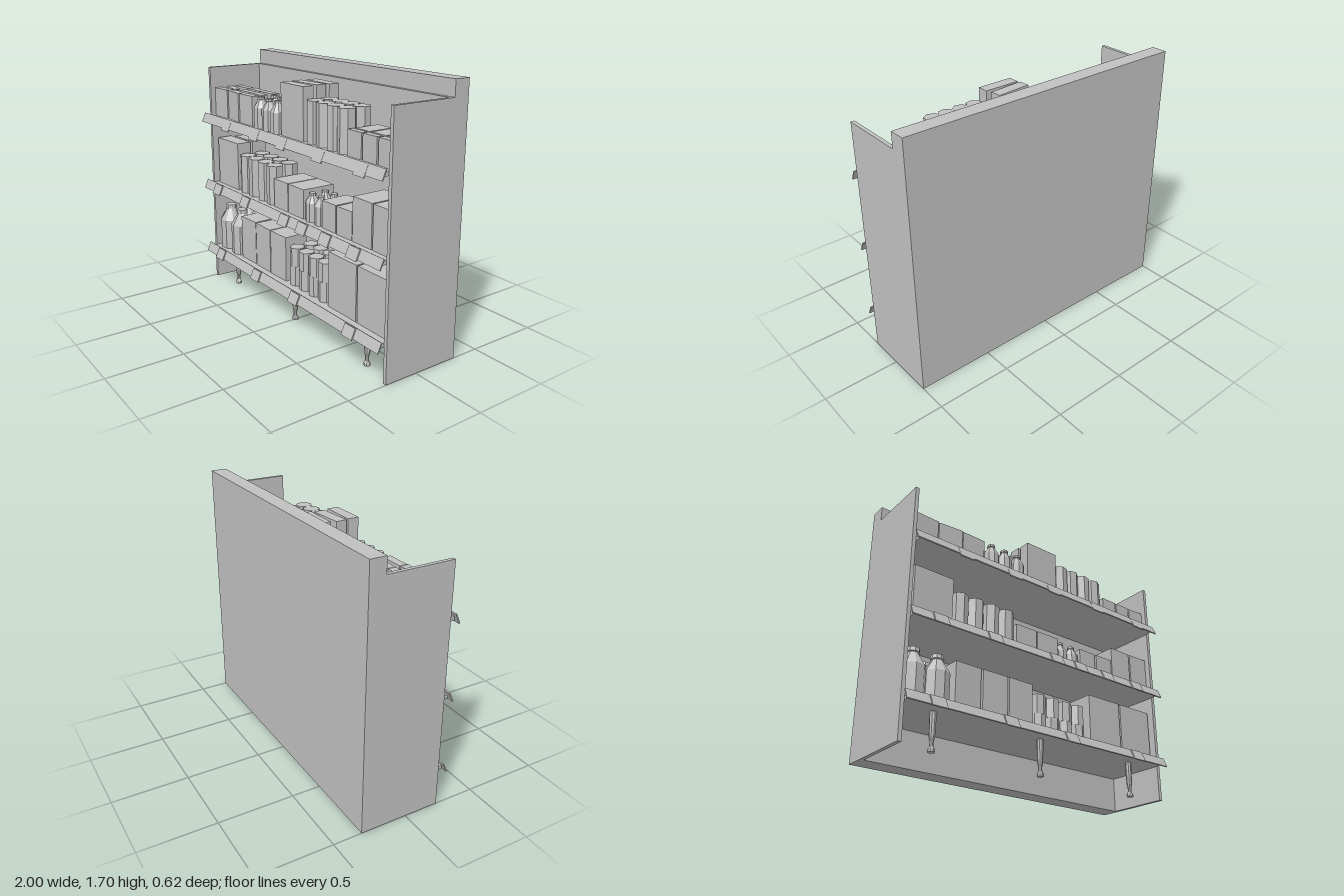
import * as THREE from 'three';

const grey = new THREE.MeshStandardMaterial({ color: 0xc0c0c0, flatShading: true });
grey.name = 'shelf grey';

export function createModel() {
  const model = new THREE.Group();
  model.name = 'stockedShelf';

  const add = (name, geometry, x, y, z, ry = 0) => {
    const mesh = new THREE.Mesh(geometry, grey);
    mesh.name = name;
    mesh.position.set(x, y, z);
    mesh.rotation.y = ry;
    model.add(mesh);
    return mesh;
  };
  // Box given by its extents on each axis, turned about its own centre
  const block = (name, x0, x1, y0, y1, z0, z1, ry = 0) =>
    add(name, new THREE.BoxGeometry(x1 - x0, y1 - y0, z1 - z0),
      (x0 + x1) / 2, (y0 + y1) / 2, (z0 + z1) / 2, ry);
  const lathe = (points, sides) =>
    new THREE.LatheGeometry(points.map(([r, y]) => new THREE.Vector2(r, y)), sides);

  // Seven-sided cans on a grid of positions
  const cans = (xs, zs, y0, y1, r, turn = 0) => {
    xs.forEach((x, i) => zs.forEach((z, j) =>
      add('can', new THREE.CylinderGeometry(r, r, y1 - y0, 7), x, (y0 + y1) / 2, z, turn + i * 0.4 + j * 0.7)));
  };
  // Bottles with sloped shoulders and a small flared cap
  const bottles = (xs, zs, y0, h, r) => {
    const shape = lathe([[0, 0], [r, 0], [r, h * 0.66], [r * 0.4, h * 0.91],
      [r * 0.52, h * 0.92], [r * 0.48, h], [0, h]], 9);
    xs.forEach((x, i) => zs.forEach((z, j) => add('bottle', shape, x, y0, z, i * 0.3 + j * 0.5)));
  };

  // Cabinet
  block('backPanel', -0.976, 0.976, 0, 1.6, -0.31, -0.18);
  block('topRail', -1, 1, 1.6, 1.7, -0.31, -0.205);
  for (const s of [-1, 1]) {
    add('sidePanel', new THREE.BoxGeometry(0.024, 1.6, 0.54), s * 0.988, 0.8, -0.04);
  }

  // Shelves with tilted price strips and label holders
  const low = 0.255, mid = 0.752, top = 1.25;
  const shelves = [
    [low, [-0.8, -0.305, 0.16, 0.73], 0.004, 0.009],
    [mid, [-0.81, -0.43, 0.05, 0.25, 0.49, 0.76], 0.004, 0.009],
    [top, [-0.66, -0.29, 0.03, 0.42, 0.81], 0.011, 0.002],
  ];
  for (const [y, labels, drop, out] of shelves) {
    block('shelfBoard', -0.976, 0.976, y - 0.025, y, -0.18, 0.275);
    const strip = add('priceStrip', new THREE.BoxGeometry(2, 0.068, 0.008), 0, y - 0.008, 0.281);
    strip.rotation.x = -0.42;
    for (const x of labels) {
      const label = add('labelHolder', new THREE.BoxGeometry(0.098, 0.074, 0.008),
        x, y - 0.008 - drop, 0.281 + out + drop * 0.4);
      label.rotation.x = -0.42;
    }
  }

  // Legs
  const leg = lathe([[0, 0], [0.021, 0], [0.021, 0.018], [0.012, 0.032], [0.012, 0.06],
    [0.018, 0.085], [0.021, 0.23], [0, 0.23]], 8);
  for (const x of [-0.76, 0, 0.76]) add('leg', leg, x, 0, 0.17);

  // Top shelf goods
  const turns = [[0.03, -0.1, 0.02], [-0.17, 0.03, -0.08], [0.04, -0.09, 0.02]];
  [-0.97, -0.795, -0.627].forEach((x, i) => [-0.025, 0.063, 0.142].forEach((z, j) =>
    block('smallCarton', x, x + 0.163, top, 1.453, z, z + 0.053, turns[j][i])));
  bottles([-0.39, -0.287, -0.185], [0.062, 0.167], top, 0.21, 0.052);
  block('tallCarton', -0.107, 0.138, top, 1.59, -0.078, -0.002);
  block('tallCarton', -0.12, 0.123, top, 1.59, 0.02, 0.095, 0.08);
  block('tallCarton', -0.11, 0.137, top, 1.59, 0.118, 0.193);
  cans([0.205, 0.307, 0.41, 0.513], [0.042, 0.15], top, 1.515, 0.056);
  block('lowCarton', 0.577, 0.7, top, 1.405, -0.028, 0.14);
  block('lowCarton', 0.711, 0.833, top, 1.405, -0.037, 0.138, 0.03);
  block('lowCarton', 0.845, 0.97, top, 1.405, -0.038, 0.137);
  block('lowCarton', 0.577, 0.7, top, 1.405, 0.153, 0.195);
  block('lowCarton', 0.711, 0.833, top, 1.405, 0.153, 0.195);
  block('lowCarton', 0.845, 0.97, top, 1.405, 0.155, 0.197, -0.06);

  // Middle shelf goods
  block('wideCarton', -0.95, -0.68, mid, 1.09, 0.09, 0.195, 0.02);
  block('wideCarton', -0.93, -0.68, mid, 1.09, -0.04, 0.07);
  cans([-0.607, -0.492, -0.376, -0.262], [0.035, 0.15], mid, 1.018, 0.057, 0.2);
  block('lowCarton', -0.202, -0.04, mid, 0.945, -0.04, 0.195);
  block('lowCarton', -0.032, 0.138, mid, 0.945, -0.04, 0.195);
  bottles([0.188, 0.283], [0.062, 0.16], mid, 0.183, 0.046);
  block('lowCarton', 0.333, 0.47, mid, 0.928, 0, 0.195);
  block('lowCarton', 0.48, 0.622, mid, 0.928, 0, 0.195, 0.03);
  block('carton', 0.632, 0.804, mid, 1.025, -0.04, 0.195);
  block('carton', 0.815, 0.972, mid, 1.025, -0.04, 0.195);

  // Bottom shelf goods
  bottles([-0.895, -0.735], [0.0, 0.14], low, 0.33, 0.081);
  [-0.645, -0.448, -0.258].forEach((x, i) => {
    block('carton', x, x + 0.182, low, 0.565, 0.02, 0.195, [0.04, 0, 0.02][i]);
  });
  cans([0, 0.108, 0.215, 0.32], [0.04, 0.15], low, 0.39, 0.051);
  cans([0, 0.108, 0.215, 0.32], [0.04, 0.15], 0.39, 0.518, 0.051, 0.35);
  block('largeCarton', 0.402, 0.675, low, 0.617, 0.01, 0.195);
  block('largeCarton', 0.687, 0.958, low, 0.617, 0.01, 0.195);

  return model;
}
